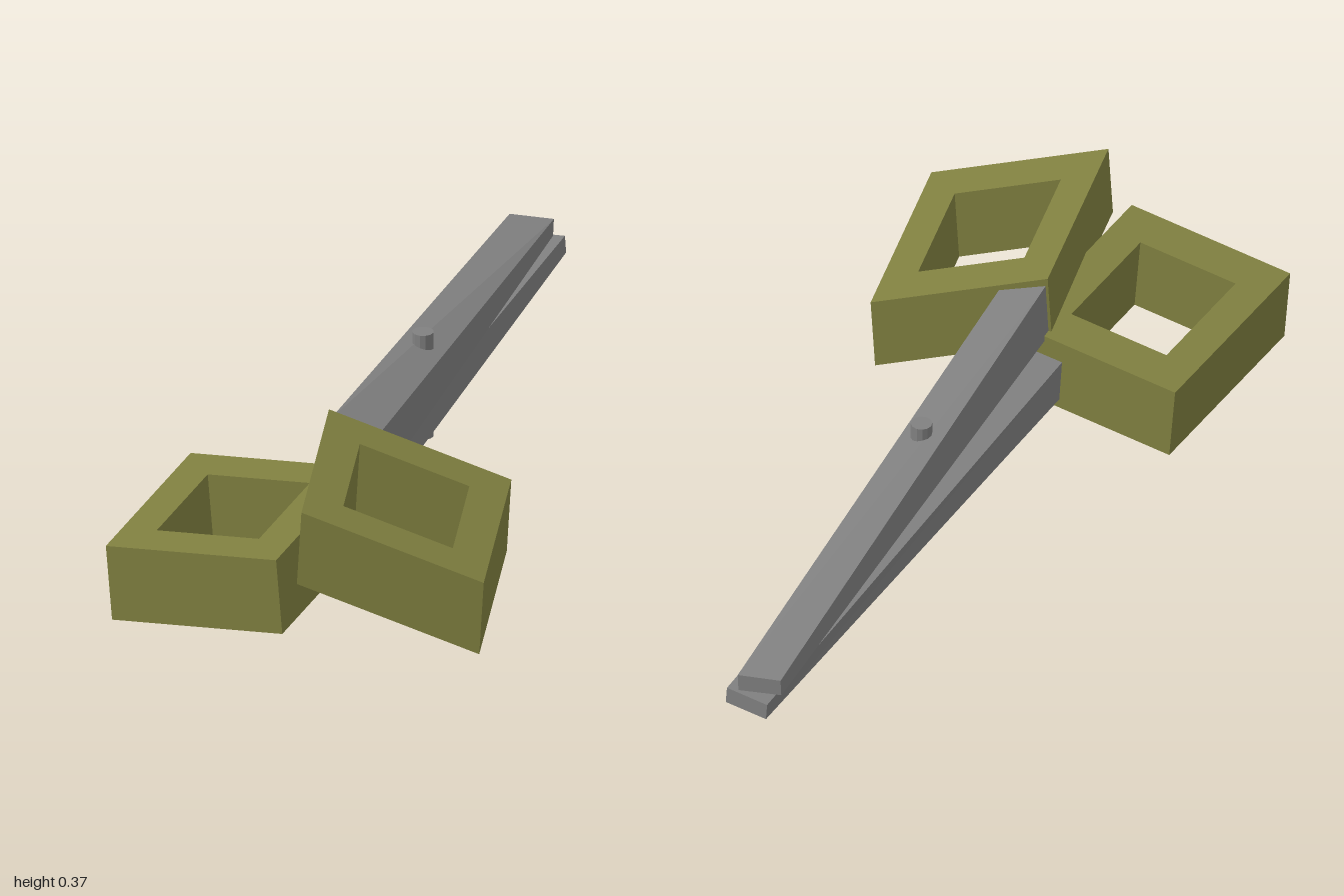
import * as THREE from 'three';

const olive = new THREE.MeshStandardMaterial({ color: 0x808040 });
olive.name = 'olive handle';
const steel = new THREE.MeshStandardMaterial({ color: 0x808080 });
steel.name = 'grey steel';

function addMesh(group, name, geometry, material) {
  const mesh = new THREE.Mesh(geometry, material);
  mesh.name = name;
  group.add(mesh);
}

// Flat facets baked into the normals
function faceted(geometry) {
  const flat = geometry.toNonIndexed();
  flat.computeVertexNormals();
  return flat;
}

// Trace a centred square covering the given share of the unit square
function square(path, size) {
  const a = (1 - size) / 2, b = (1 + size) / 2;
  path.moveTo(a, a).lineTo(b, a).lineTo(b, b).lineTo(a, b).closePath();
  return path;
}

// Square grip with a hole, skewed onto three edge vectors from its front bottom corner
function gripGeometry(corner, across, back, up) {
  const shape = square(new THREE.Shape(), 1);
  shape.holes.push(square(new THREE.Path(), 0.6));
  const geometry = new THREE.ExtrudeGeometry(shape, { depth: 1, bevelEnabled: false });
  const v = (p) => new THREE.Vector3(...p);
  const matrix = new THREE.Matrix4().makeBasis(v(across), v(back), v(up)).setPosition(v(corner));
  return faceted(geometry.applyMatrix4(matrix));
}

// Tapered bar; each end lists bottom right, bottom left, top right, top left (from -x to +x)
function bladeGeometry(root, tip) {
  const geometry = new THREE.BoxGeometry(1, 1, 1);
  const pos = geometry.attributes.position;
  for (let i = 0; i < pos.count; i++) {
    const end = pos.getZ(i) > 0 ? root : tip;
    const corner = (pos.getX(i) > 0 ? 1 : 0) + (pos.getY(i) > 0 ? 2 : 0);
    pos.setXYZ(i, ...end[corner]);
  }
  return faceted(geometry);
}

export function createModel() {
  const group = new THREE.Group();
  group.name = 'scissors';

  // Grips
  addMesh(group, 'lowerGrip', gripGeometry(
    [-0.437, 0.002, 0.95], [0.42, 0.037, 0.035], [0.046, 0.004, -0.525], [-0.015, 0.186, 0]), olive);
  addMesh(group, 'upperGrip', gripGeometry(
    [0.022, 0.178, 0.998], [0.417, -0.155, -0.072], [-0.09, 0.014, -0.52], [0.01, 0.182, -0.003]), olive);

  // Blades, crossing at the pivot
  addMesh(group, 'lowerBlade', bladeGeometry(
    [[-0.1, 0.055, 0.46], [0.01, 0.063, 0.47], [-0.107, 0.165, 0.46], [0.003, 0.174, 0.47]],
    [[-0.035, 0.115, -1], [0.072, 0.123, -0.99], [-0.038, 0.157, -1], [0.069, 0.165, -0.99]]), steel);
  addMesh(group, 'upperBlade', bladeGeometry(
    [[-0.06, 0.21, 0.485], [0.05, 0.175, 0.465], [-0.053, 0.353, 0.485], [0.057, 0.318, 0.465]],
    [[-0.06, 0.172, -0.97], [0.042, 0.164, -0.985], [-0.058, 0.213, -0.97], [0.044, 0.207, -0.985]]), steel);

  // Pivot pin
  const pin = new THREE.CylinderGeometry(0.025, 0.025, 0.265, 12);
  pin.translate(0, 0.193, -0.084);
  addMesh(group, 'pivotPin', faceted(pin), steel);

  return group;
}
